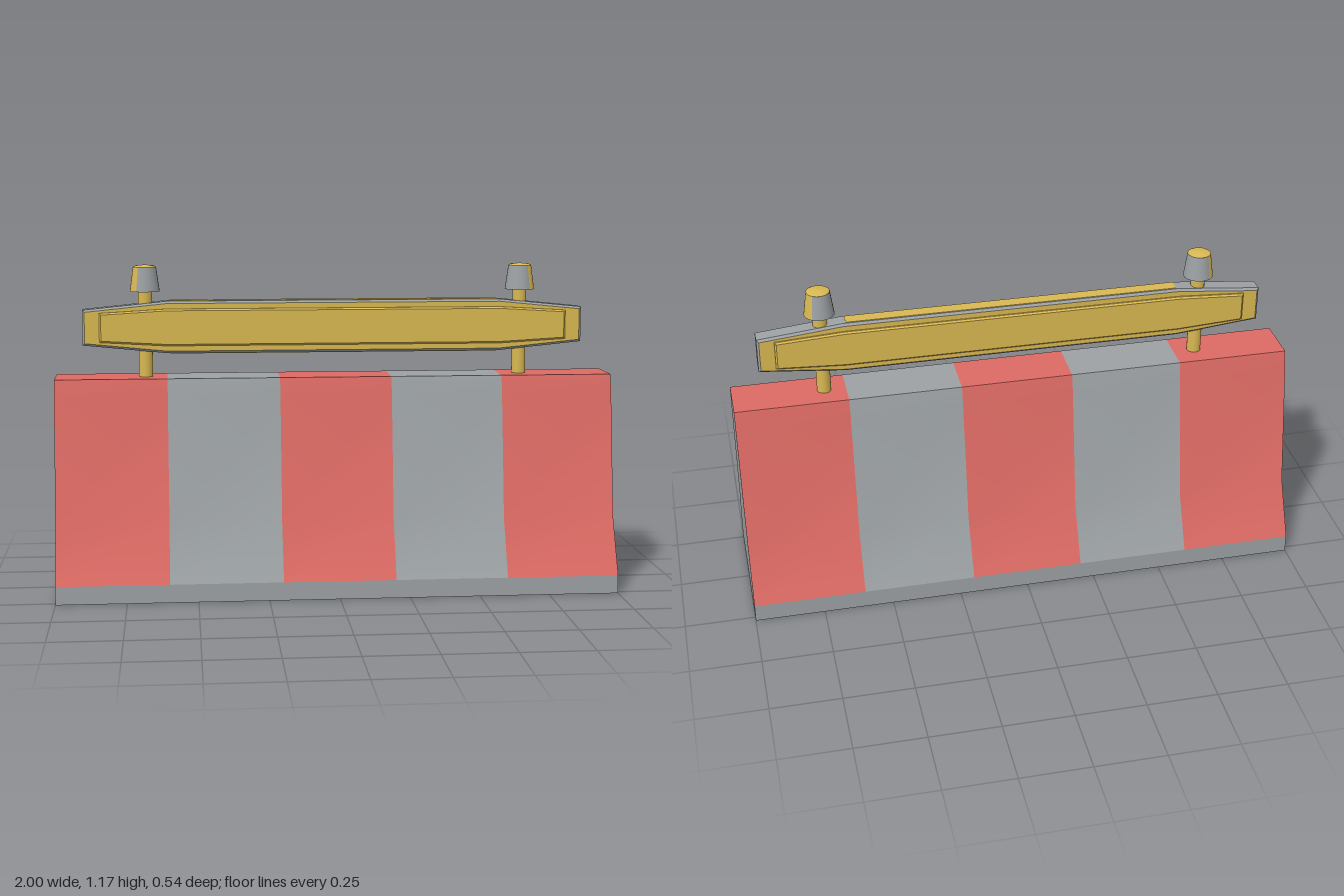
import * as THREE from 'three';
import { toCreasedNormals } from 'three/addons/utils/BufferGeometryUtils.js';

const material = (name, color, side = THREE.FrontSide) => {
  const m = new THREE.MeshStandardMaterial({ color, side });
  m.name = name;
  return m;
};

// Sweep a [z, y] profile along x from x0 to x1, smoothing only gentle bends
function strip(profile, x0, x1) {
  const pos = [], index = [];
  profile.forEach(([z, y], i) => {
    pos.push(x0, y, z, x1, y, z);
    if (i < profile.length - 1) {
      const a = i * 2;
      index.push(a, a + 1, a + 3, a, a + 3, a + 2);
    }
  });
  const g = new THREE.BufferGeometry();
  g.setAttribute('position', new THREE.Float32BufferAttribute(pos, 3));
  g.setIndex(index);
  return toCreasedNormals(g, 0.7);
}

// Long eight-sided outline with tapered ends, centred on the origin
function taperedBar(endX, endY, midX, midY) {
  const pts = [
    [endX, -endY], [endX, endY], [midX, midY], [-midX, midY],
    [-endX, endY], [-endX, -endY], [-midX, -midY], [midX, -midY],
  ];
  return new THREE.Shape(pts.map(([x, y]) => new THREE.Vector2(x, y)));
}

function bevelled(shape, thickness, bevel) {
  const depth = thickness - 2 * bevel;
  const g = new THREE.ExtrudeGeometry(shape, {
    depth, bevelThickness: bevel, bevelSize: bevel, bevelOffset: -bevel, bevelSegments: 1,
  });
  return g.translate(0, 0, -depth / 2);
}

export function createModel() {
  const model = new THREE.Group();
  model.name = 'barrier';
  const red = material('red paint', 0xdc6a64);
  const grey = material('concrete grey', 0x9ca1a4);
  const gold = material('amber', 0xd9b852);

  const add = (parent, name, geometry, mat, x = 0, y = 0, z = 0) => {
    const mesh = new THREE.Mesh(geometry, mat);
    mesh.name = name;
    mesh.position.set(x, y, z);
    parent.add(mesh);
    return mesh;
  };

  // Concrete body: five painted bands over the sloped sides and top
  const half = [[0.27, 0.065], [0.175, 0.26], [0.102, 0.71], [0.087, 0.77]];
  const back = half.map(([z, y]) => [-z, y]).reverse();
  const upper = [...half, ...back];
  for (let i = 0; i < 5; i++) {
    const x = -1 + i * 0.4;
    add(model, i % 2 ? 'greyBand' : 'redBand', strip(upper, x, x + 0.4), i % 2 ? grey : red);
  }

  // Foot and underside
  add(model, 'foot', strip([[-0.27, 0.065], [-0.27, 0], [0.27, 0], [0.27, 0.065]], -1, 1), grey);

  // End walls
  const outline = new THREE.Shape(
    [[-0.27, 0], [0.27, 0], ...upper].map(([z, y]) => new THREE.Vector2(z, y)));
  for (const s of [1, -1]) {
    const end = add(model, 'endWall', new THREE.ShapeGeometry(outline), grey, s);
    end.rotation.y = s * Math.PI / 2;
  }

  // Light bar: grey rim with amber faces and a raised lens on both sides
  const bar = new THREE.Group();
  bar.name = 'lightBar';
  bar.position.y = 0.948;
  model.add(bar);
  add(bar, 'barFrame', bevelled(taperedBar(0.9, 0.063, 0.6, 0.093), 0.068, 0.008), [gold, grey]);
  add(bar, 'lens', bevelled(taperedBar(0.84, 0.052, 0.6, 0.066), 0.09, 0.006), gold);
  for (const s of [1, -1]) {
    add(bar, 'edgeStrip', new THREE.BoxGeometry(1.18, 0.004, 0.046), gold, 0, s * 0.093);
  }

  // Posts carrying the bar, each topped by a tapered lamp
  for (const s of [1, -1]) {
    const stand = new THREE.Group();
    stand.name = s > 0 ? 'leftStand' : 'rightStand';
    stand.position.x = s * 0.677;
    if (s < 0) stand.rotation.y = Math.PI;
    model.add(stand);
    add(stand, 'post', new THREE.CylinderGeometry(0.025, 0.025, 0.325, 20), gold, 0, 0.925);

    const start = 0.6, arc = Math.PI - 2 * start;
    const shell = (from, length, n) =>
      new THREE.CylinderGeometry(0.041, 0.053, 0.087, n, 1, true, from, length);
    add(stand, 'lampLens', shell(start, arc, 10), gold, 0, 1.1185);
    add(stand, 'lampShell', shell(start + arc, Math.PI * 2 - arc, 16), grey, 0, 1.1185);
    const dome = [[0.041, 0], [0.032, 0.005], [0, 0.008]].map(([r, y]) => new THREE.Vector2(r, y));
    add(stand, 'lampTop', new THREE.LatheGeometry(dome, 24), gold, 0, 1.162);
    const base = add(stand, 'lampBase', new THREE.CircleGeometry(0.053, 24), grey, 0, 1.075);
    base.rotation.x = Math.PI / 2;
  }
  return model;
}
